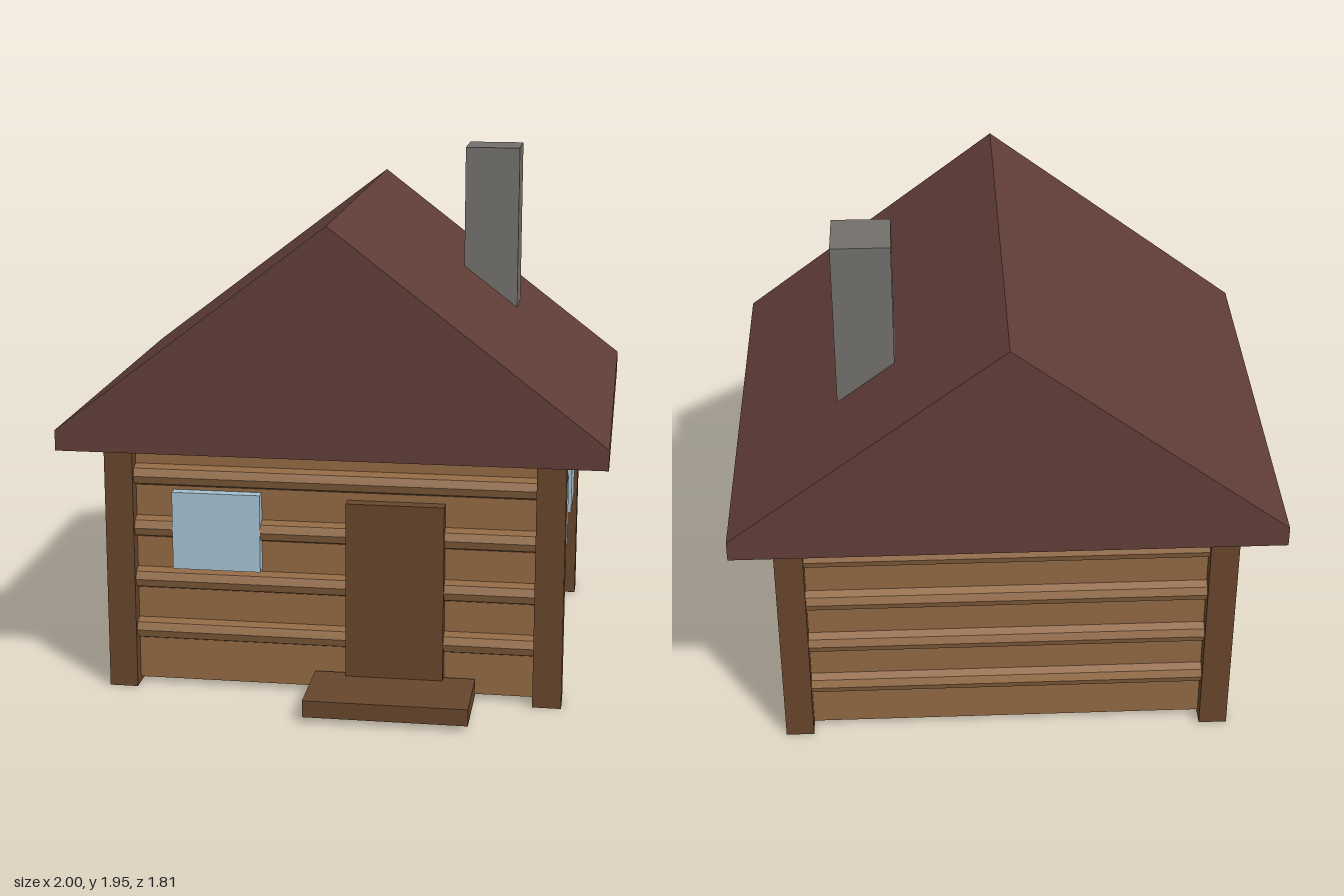
import * as THREE from 'three';

const material = (name, color) => {
  const m = new THREE.MeshStandardMaterial({ color });
  m.name = name;
  return m;
};

export function createModel() {
  const cabin = new THREE.Group();
  cabin.name = 'cabin';
  const wood = material('wall wood', 0x906842);
  const darkWood = material('dark wood', 0x66452b);
  const shingle = material('roof shingle', 0x603d37);
  const stone = material('chimney stone', 0x726f6b);
  const glass = material('window glass', 0xa6c0d0);
  wood.flatShading = true;

  // Box given by its limits on each axis
  const box = (name, mat, [x0, x1], [y0, y1], [z0, z1]) => {
    const mesh = new THREE.Mesh(new THREE.BoxGeometry(x1 - x0, y1 - y0, z1 - z0), mat);
    mesh.position.set((x0 + x1) / 2, (y0 + y1) / 2, (z0 + z1) / 2);
    mesh.name = name;
    cabin.add(mesh);
  };

  const front = 0.59, back = -0.74, side = 0.8;
  box('walls', wood, [-side, side], [0.02, 0.945], [back, front]);

  // Octagonal logs half sunk into the front and back walls
  const logGeometry = new THREE.CylinderGeometry(0.041, 0.041, 1.58, 8).rotateZ(Math.PI / 2);
  for (const z of [front, back]) {
    for (let i = 0; i < 4; i++) {
      const log = new THREE.Mesh(logGeometry, wood);
      log.position.set(0, 0.22 + i * 0.2, z);
      log.name = 'wallLog';
      cabin.add(log);
    }
  }

  // Corner posts
  for (const s of [-1, 1]) {
    for (const z of [front, back]) {
      const x = s * 0.797;
      box('cornerPost', darkWood, [x - 0.053, x + 0.053], [0, 0.945], [z - 0.053, z + 0.053]);
    }
  }

  // Windows: one in front, two on each side
  box('frontWindow', glass, [-0.6, -0.27], [0.47, 0.765], [0.58, 0.632]);
  for (const s of [-1, 1]) {
    for (const z of [0.26, -0.405]) {
      const x = s * 0.815;
      box('sideWindow', glass, [x - 0.025, x + 0.025], [0.485, 0.75], [z - 0.148, z + 0.148]);
    }
  }

  box('door', darkWood, [0.05, 0.412], [0.05, 0.75], [0.58, 0.641]);
  box('doorStep', darkWood, [-0.07, 0.53], [0.021, 0.084], [0.605, 0.905]);

  // Gabled roof with short upright eaves
  const gable = new THREE.Shape([
    [-1, 0.942], [1, 0.942], [1, 1.018], [0, 1.785], [-1, 1.018],
  ].map(([x, y]) => new THREE.Vector2(x, y)));
  const roof = new THREE.Mesh(
    new THREE.ExtrudeGeometry(gable, { depth: 1.663, bevelEnabled: false }), shingle);
  roof.position.z = -0.908;
  roof.name = 'roof';
  cabin.add(roof);

  box('chimney', stone, [0.393, 0.605], [1.25, 1.953], [-0.482, -0.27]);
  return cabin;
}
